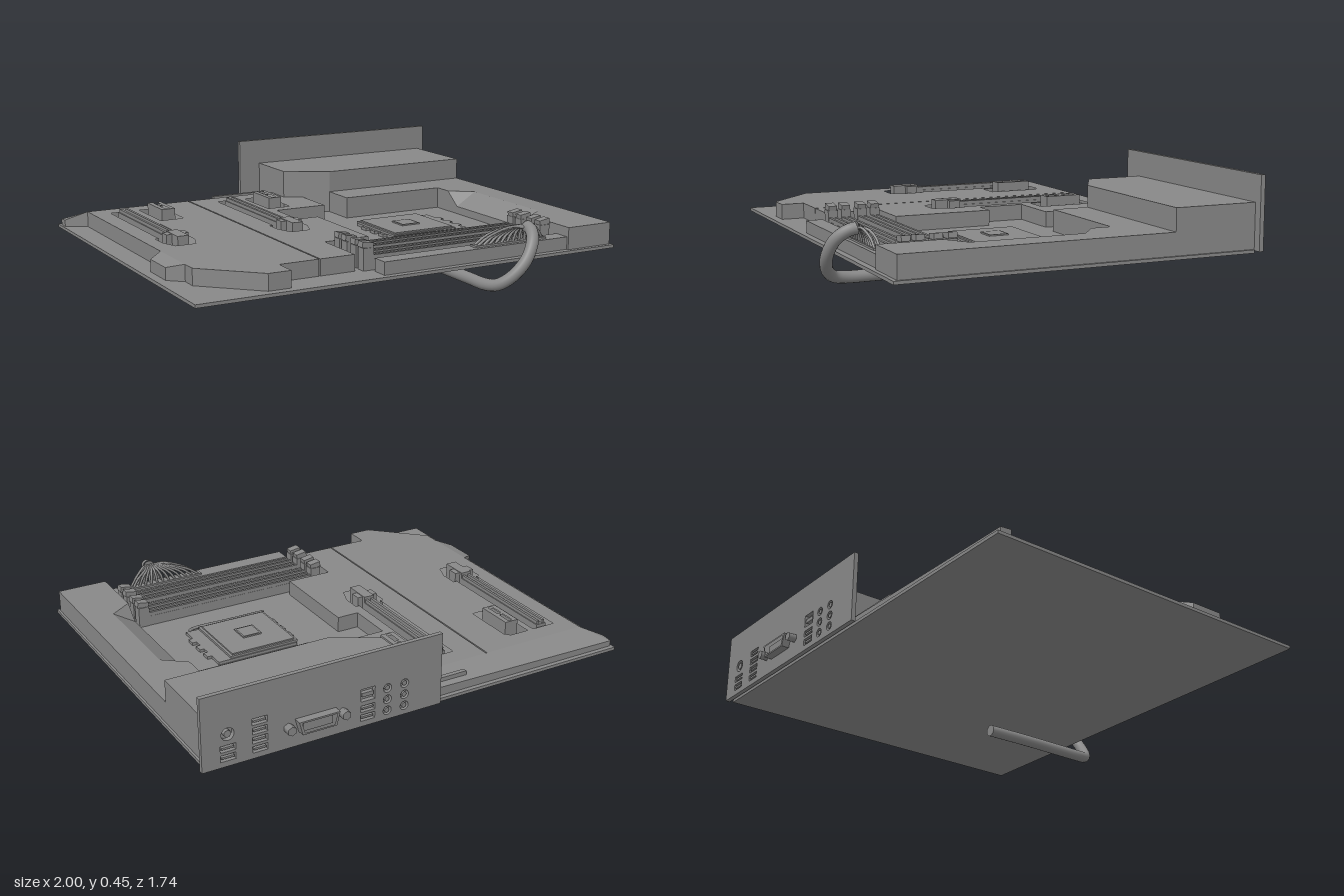
import * as THREE from 'three';

const GREY = 0x888888;
const mat = new THREE.MeshStandardMaterial({ color: GREY });
const thinMat = new THREE.MeshStandardMaterial({ color: GREY, side: THREE.DoubleSide });
const BOARD = 0.135, COVER = 0.205, BLOCK = 0.232;

export function createModel() {
  const root = new THREE.Group();
  const group = (name) => {
    const g = new THREE.Group();
    g.name = name;
    root.add(g);
    return g;
  };
  const add = (parent, name, geo, material = mat) => {
    const m = new THREE.Mesh(geo, material);
    m.name = name;
    parent.add(m);
    return m;
  };
  // box given by its limits on each axis
  const box = (parent, name, x0, x1, y0, y1, z0, z1) =>
    add(parent, name, new THREE.BoxGeometry(x1 - x0, y1 - y0, z1 - z0)
      .translate((x0 + x1) / 2, (y0 + y1) / 2, (z0 + z1) / 2));
  // plan outline in [x, z], raised from y0 to y1
  const plate = (parent, name, pts, y0, y1, holes = []) => {
    const flip = (p) => p.map(([x, z]) => new THREE.Vector2(x, -z));
    const shape = new THREE.Shape(flip(pts));
    holes.forEach((h) => shape.holes.push(new THREE.Path(flip(h))));
    const geo = new THREE.ExtrudeGeometry(shape, { depth: y1 - y0, bevelEnabled: false });
    return add(parent, name, geo.rotateX(-Math.PI / 2).translate(0, y0, 0));
  };
  const rect = (x0, x1, y0, y1) => [[x0, y0], [x1, y0], [x1, y1], [x0, y1]];
  // open faces from polygons of [x, y, z] corners
  const faces = (parent, name, polys) => {
    const pos = [];
    polys.forEach((p) => {
      for (let i = 1; i < p.length - 1; i++) pos.push(...p[0], ...p[i], ...p[i + 1]);
    });
    const geo = new THREE.BufferGeometry();
    geo.setAttribute('position', new THREE.Float32BufferAttribute(pos, 3));
    geo.computeVertexNormals();
    return add(parent, name, geo, thinMat);
  };

  // circuit board
  box(root, 'circuitBoard', -1, 0.975, 0.121, BOARD, -0.81, 0.763);

  // armour cover in two halves with a thin seam and openings for the expansion slots
  const longX = [-0.765, -0.23], shortX = [-0.625, -0.09];
  const openings = (i) => {
    const c = longX[i], s = shortX[i];
    return [[
      [c - 0.055, -0.6], [c + 0.055, -0.6], [c + 0.055, -0.02], [c + 0.072, -0.02], [c + 0.072, 0.06],
      [c + 0.045, 0.135], [c - 0.045, 0.135], [c - 0.072, 0.06], [c - 0.072, -0.02], [c - 0.055, -0.02]],
    [[s - 0.055, -0.6], [s + 0.035, -0.6], [s + 0.055, -0.575], [s + 0.055, -0.345], [s - 0.055, -0.345]]];
  };
  const cover = group('armourCover');
  plate(cover, 'outerCover', [
    [-0.9, -0.685], [-0.403, -0.685], [-0.403, 0.62], [-0.58, 0.62],
    [-0.58, 0.725], [-0.68, 0.725], [-0.9, 0.51]], BOARD, COVER, openings(0));
  plate(cover, 'innerCover', [
    [-0.397, -0.685], [0.04, -0.685], [0.04, -0.55], [0.12, -0.505], [0.12, -0.29], [-0.13, -0.29],
    [-0.13, -0.08], [-0.03, -0.08], [-0.03, 0.37], [-0.24, 0.37], [-0.24, 0.62], [-0.397, 0.62]],
  BOARD, COVER, openings(1));
  // sloping rear and left edges
  faces(cover, 'coverRearSlope', [
    [[-0.9, COVER, -0.685], [0.04, COVER, -0.685], [0.04, 0.175, -0.79], [-0.99, 0.16, -0.79], [-0.99, 0.165, -0.74]],
    [[-0.9, COVER, -0.685], [-0.99, 0.165, -0.74], [-0.99, BOARD, -0.74], [-0.9, BOARD, -0.685]],
    [[-0.99, 0.165, -0.74], [-0.99, 0.16, -0.79], [-0.99, BOARD, -0.79], [-0.99, BOARD, -0.74]],
    [[-0.99, 0.16, -0.79], [0.04, 0.175, -0.79], [0.04, BOARD, -0.79], [-0.99, BOARD, -0.79]]]);
  faces(cover, 'coverSideSlope', [
    [[-0.9, COVER, 0.19], [-0.96, 0.187, 0.23], [-0.96, 0.187, 0.385], [-0.9, COVER, 0.44]],
    [[-0.9, COVER, 0.19], [-0.96, 0.187, 0.23], [-0.96, BOARD, 0.23], [-0.9, BOARD, 0.19]],
    [[-0.96, 0.187, 0.23], [-0.96, 0.187, 0.385], [-0.96, BOARD, 0.385], [-0.96, BOARD, 0.23]],
    [[-0.96, 0.187, 0.385], [-0.9, COVER, 0.44], [-0.9, BOARD, 0.44], [-0.96, BOARD, 0.385]]]);
  box(cover, 'rearRail', -0.24, 0.04, BOARD, 0.2, -0.765, -0.745);

  // long expansion slots with cross-shaped end latches
  longX.forEach((c) => {
    const slot = group('longSlot');
    box(slot, 'slotBase', c - 0.025, c + 0.025, BOARD, 0.21, -0.585, 0);
    [-1, 1].forEach((s) => box(slot, 'slotRib', c + s * 0.014 - 0.006, c + s * 0.014 + 0.006, 0.21, 0.225, -0.58, 0));
    box(slot, 'latchBar', c - 0.05, c + 0.05, BOARD, 0.234, 0, 0.05);
    box(slot, 'latchStem', c - 0.025, c + 0.025, BOARD, 0.237, -0.015, 0.11);
  });
  // short expansion slots: a frame with two openings
  shortX.forEach((c) => plate(group('shortSlot'), 'slotFrame', rect(c - 0.032, c + 0.032, -0.555, -0.385), BOARD, 0.245,
    [rect(c - 0.01, c + 0.01, -0.545, -0.48), rect(c - 0.01, c + 0.01, -0.465, -0.395)]));

  // rear port shroud and the heatsink wrapping the socket area
  const shroud = group('portShroud');
  plate(shroud, 'shroudTop', [[0.04, -0.815], [0.965, -0.815], [0.965, -0.44], [0.23, -0.44], [0.04, -0.55]], BOARD, 0.33);
  plate(shroud, 'heatsink', [
    [0.23, -0.44], [0.965, -0.44], [0.965, 0.745], [0.74, 0.745], [0.74, 0.47], [0.84, 0.4],
    [0.84, -0.1], [0.74, -0.18], [0.74, -0.27], [0.23, -0.27]], BOARD, BLOCK);
  // sloped scoop facing the socket
  const A = [0.74, BLOCK, -0.18], B = [0.84, BLOCK, -0.1], C = [0.84, BLOCK, 0.4], D = [0.74, BLOCK, 0.47];
  const E = [0.74, 0.17, -0.1], F = [0.74, 0.17, 0.4], G = [0.74, BOARD, -0.18], H = [0.74, BOARD, 0.47];
  faces(shroud, 'heatsinkScoop', [[A, E, B], [B, E, F, C], [C, F, D], [E, A, G, H, F], [F, H, D]]);

  // processor socket with side lugs, lid and lever
  const socket = group('processorSocket');
  box(socket, 'socketBase', 0.19, 0.57, BOARD, 0.148, -0.1, 0.23);
  for (let i = 0; i < 3; i++) {
    const z = -0.03 + i * 0.075;
    box(socket, 'lug', 0.17, 0.19, BOARD, 0.148, z, z + 0.04);
    box(socket, 'lug', 0.57, 0.59, BOARD, 0.148, z, z + 0.04);
  }
  box(socket, 'lidFrame', 0.185, 0.51, 0.148, 0.158, -0.095, 0.23);
  box(socket, 'lid', 0.197, 0.498, 0.158, 0.164, -0.085, 0.218);
  plate(socket, 'lidWindow', rect(0.3, 0.39, 0.023, 0.113), 0.164, 0.17, [rect(0.308, 0.382, 0.031, 0.105)]);
  const lever = new THREE.CatmullRomCurve3([[0.175, 0.15, 0.245], [0.35, 0.15, 0.245], [0.53, 0.15, 0.245], [0.56, 0.15, 0.225]]
    .map((p) => new THREE.Vector3(...p)));
  add(socket, 'lever', new THREE.TubeGeometry(lever, 20, 0.007, 8));

  // memory slots with raised, tilted end clips
  [0.42, 0.48, 0.555, 0.615].forEach((z) => {
    const slot = group('memorySlot');
    box(slot, 'slotBase', -0.17, 0.68, BOARD, 0.18, z - 0.021, z + 0.021);
    [-1, 1].forEach((s) => {
      box(slot, 'slotRib', -0.16, 0.67, 0.18, 0.197, z + s * 0.014 - 0.006, z + s * 0.014 + 0.006);
      const x = 0.255 + s * 0.44;
      box(slot, 'endClip', x - 0.025, x + 0.025, BOARD, 0.228, z - 0.022, z + 0.022);
      const tip = box(slot, 'clipTip', -0.026, 0.026, -0.012, 0.012, -0.019, 0.019);
      tip.position.set(0.255 + s * 0.442, 0.239, z);
      tip.rotation.z = s * 0.16;
    });
  });

  // front rail and power connector
  box(root, 'frontRail', -0.17, 0.74, BOARD, 0.19, 0.66, 0.735);
  const power = group('powerCable');
  box(power, 'connector', 0.28, 0.64, 0.19, 0.198, 0.675, 0.718);

  // fan of thin wires gathering into the thick cable
  for (let row = 0; row < 2; row++) {
    for (let i = 0; i < 12; i++) {
      const x = 0.295 + i * 0.03, z = 0.686 + row * 0.022;
      const wire = new THREE.CatmullRomCurve3([
        [x, 0.195, z],
        [x + (0.515 - x) * 0.25, 0.232, z + 0.006],
        [x + (0.515 - x) * 0.7, 0.262 + row * 0.005, z + 0.028],
        [0.515 + (x - 0.46) * 0.08, 0.26, 0.755]].map((p) => new THREE.Vector3(...p)));
      add(power, 'wire', new THREE.TubeGeometry(wire, 10, 0.006, 6));
    }
  }
  const path = new THREE.CatmullRomCurve3([
    [0.52, 0.262, 0.742], [0.515, 0.253, 0.778], [0.49, 0.215, 0.822], [0.445, 0.145, 0.842],
    [0.39, 0.08, 0.825], [0.35, 0.042, 0.785], [0.332, 0.031, 0.73], [0.33, 0.03, 0.6],
    [0.33, 0.03, 0.4], [0.33, 0.027, 0.19]].map((p) => new THREE.Vector3(...p)));
  add(power, 'thickCable', new THREE.TubeGeometry(path, 60, 0.026, 16));
  // end caps
  [[0.52, 0.262, 0.742], [0.33, 0.027, 0.19]].forEach((p) =>
    add(power, 'cableEnd', new THREE.CylinderGeometry(0.026, 0.026, 0.002, 16).rotateX(Math.PI / 2).translate(...p)));

  // rear panel with recessed ports, each holding a tongue or a pin
  const panel = group('rearPanel');
  const points = (p) => p.map(([x, y]) => new THREE.Vector2(x, y));
  const panelShape = new THREE.Shape(points(rect(-0.065, 1, 0.13, 0.446)));
  const port = (x, y, w, h) => {
    panelShape.holes.push(new THREE.Path(points(rect(x - w / 2, x + w / 2, y - h / 2, y + h / 2))));
    box(panel, 'portTongue', x - w * 0.4, x + w * 0.4, y - h * 0.15, y + h * 0.15, -0.833, -0.815);
  };
  const peg = (name, x, y, r, z0, z1, sides) =>
    add(panel, name, new THREE.CylinderGeometry(r, r, z1 - z0, sides).rotateX(Math.PI / 2).translate(x, y, (z0 + z1) / 2));
  const jack = (x, y, r) => {
    panelShape.holes.push(new THREE.Path().absarc(x, y, r, 0, Math.PI * 2));
    peg('jackPin', x, y, r * 0.55, -0.833, -0.815, 12);
  };
  jack(0.89, 0.268, 0.027);
  [0.168, 0.208].forEach((y) => port(0.89, y, 0.065, 0.028));
  [0.168, 0.208, 0.248, 0.288].forEach((y) => port(0.755, y, 0.065, 0.028));
  [0.168, 0.208].forEach((y) => port(0.28, y, 0.065, 0.028));
  port(0.28, 0.268, 0.065, 0.055);
  [0.19, 0.11].forEach((x) => [0.17, 0.22, 0.27].forEach((y) => jack(x, y, 0.019)));
  add(panel, 'panelPlate', new THREE.ExtrudeGeometry(panelShape, { depth: 0.02, bevelEnabled: false }).translate(0, 0, -0.835));

  // display connector with a tapered shell and two screw posts
  const shell = new THREE.Shape(points([[0.425, 0.25], [0.605, 0.25], [0.59, 0.192], [0.44, 0.192]]));
  shell.holes.push(new THREE.Path(points([[0.437, 0.243], [0.593, 0.243], [0.58, 0.199], [0.45, 0.199]])));
  add(panel, 'displayShell', new THREE.ExtrudeGeometry(shell, { depth: 0.035, bevelEnabled: false }).translate(0, 0, -0.87));
  box(panel, 'displayCore', 0.45, 0.58, 0.199, 0.243, -0.855, -0.83);
  [0.395, 0.635].forEach((x) => peg('screwPost', x, 0.221, 0.02, -0.87, -0.83, 6));

  return root;
}
